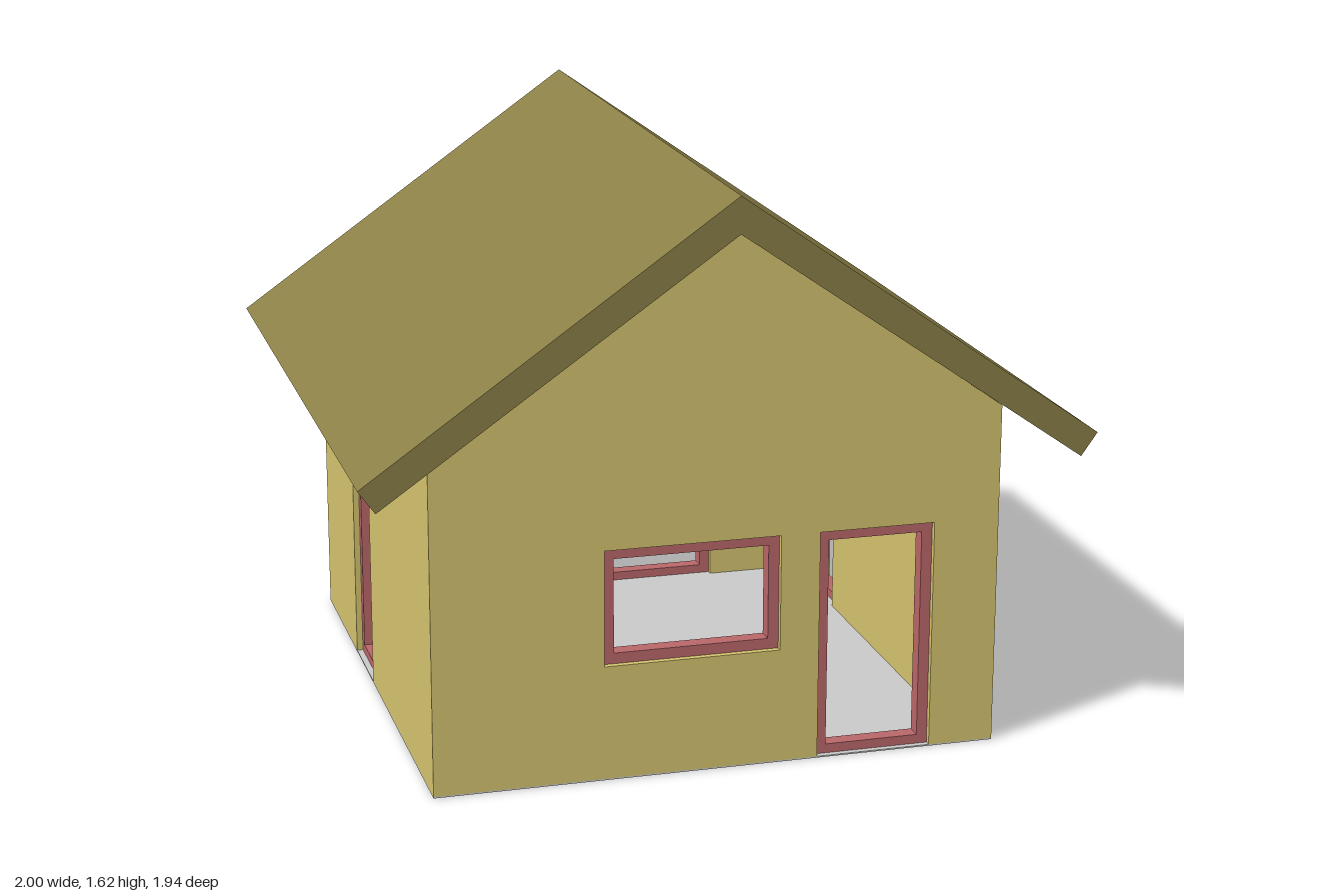
import * as THREE from 'three';

const WALL_T = 0.08, HALF_X = 0.79, HALF_Z = 0.81, BASE = 0.004;
const EAVE = 0.967, APEX = 1.52, RAIL = 0.03, FRAME_T = 0.045;

const mat = (color) => new THREE.MeshStandardMaterial({ color, flatShading: true });
const wallMat = mat(0xd8c670), frameMat = mat(0xbc686a), roofMat = mat(0x8c8048), floorMat = mat(0xcccccc);

const shapeOf = (pts) => new THREE.Shape(pts.map(([x, y]) => new THREE.Vector2(x, y)));
const rect = (x0, x1, y0, y1) => [[x0, y0], [x1, y0], [x1, y1], [x0, y1]];

function extrude(name, shape, depth, z, material) {
  const geo = new THREE.ExtrudeGeometry(shape, { depth, bevelEnabled: false });
  geo.translate(0, 0, z);
  const mesh = new THREE.Mesh(geo, material);
  mesh.name = name;
  return mesh;
}

// Wall with its outer face at local z = 0; floor-level openings notch the outline
function wall(name, half, gable, openings) {
  const group = new THREE.Group();
  group.name = name;
  const outline = [[-half, BASE]];
  for (const [x0, x1, y0, y1] of openings) {
    if (y0 === 0) outline.push([x0, BASE], [x0, y1], [x1, y1], [x1, BASE]);
  }
  outline.push([half, BASE], [half, EAVE]);
  if (gable) outline.push([0, APEX]);
  outline.push([-half, EAVE]);
  const shape = shapeOf(outline);

  for (const [x0, x1, y0, y1, label] of openings) {
    if (y0 > 0) shape.holes.push(shapeOf(rect(x0, x1, y0, y1)));
    // Frame set back inside the opening
    const frame = shapeOf(rect(x0, x1, Math.max(y0, BASE), y1));
    frame.holes.push(shapeOf(rect(x0 + RAIL, x1 - RAIL, y0 + RAIL, y1 - RAIL)));
    group.add(extrude(label, frame, FRAME_T, -(WALL_T + FRAME_T) / 2, frameMat));
  }
  group.add(extrude(name + 'Panel', shape, WALL_T, -WALL_T, wallMat));
  return group;
}

export function createModel() {
  const house = new THREE.Group();
  house.name = 'house';

  // Floor
  const floor = new THREE.Mesh(new THREE.BoxGeometry(2 * HALF_X, BASE, 2 * HALF_Z), floorMat);
  floor.name = 'floor';
  floor.position.y = BASE / 2;
  house.add(floor);

  // Gable walls
  const front = wall('frontWall', HALF_X, true, [
    [-0.32, 0.17, 0.325, 0.65, 'frontWindowFrame'],
    [0.28, 0.605, 0, 0.65, 'frontDoorFrame'],
  ]);
  front.position.z = HALF_Z;
  const back = wall('backWall', HALF_X, true, [[-0.43, 0.34, 0, 0.65, 'backOpeningFrame']]);
  back.position.z = -HALF_Z;
  back.rotation.y = Math.PI;

  // Side walls fit between the gables
  const sideHalf = HALF_Z - WALL_T;
  const left = wall('leftWall', sideHalf, false, [[0.335, 0.595, 0, 0.65, 'leftDoorFrame']]);
  left.position.x = HALF_X;
  left.rotation.y = Math.PI / 2;
  const right = wall('rightWall', sideHalf, false, [[-0.335, -0.07, 0, 0.65, 'rightDoorFrame']]);
  right.position.x = -HALF_X;
  right.rotation.y = -Math.PI / 2;
  house.add(front, back, left, right);

  // Roof slabs meeting at the ridge
  const roof = shapeOf([[0, APEX], [0.955, 0.857], [1, 0.92], [0, 1.62], [-1, 0.92], [-0.955, 0.857]]);
  house.add(extrude('roof', roof, 1.94, -0.97, roofMat));

  return house;
}
